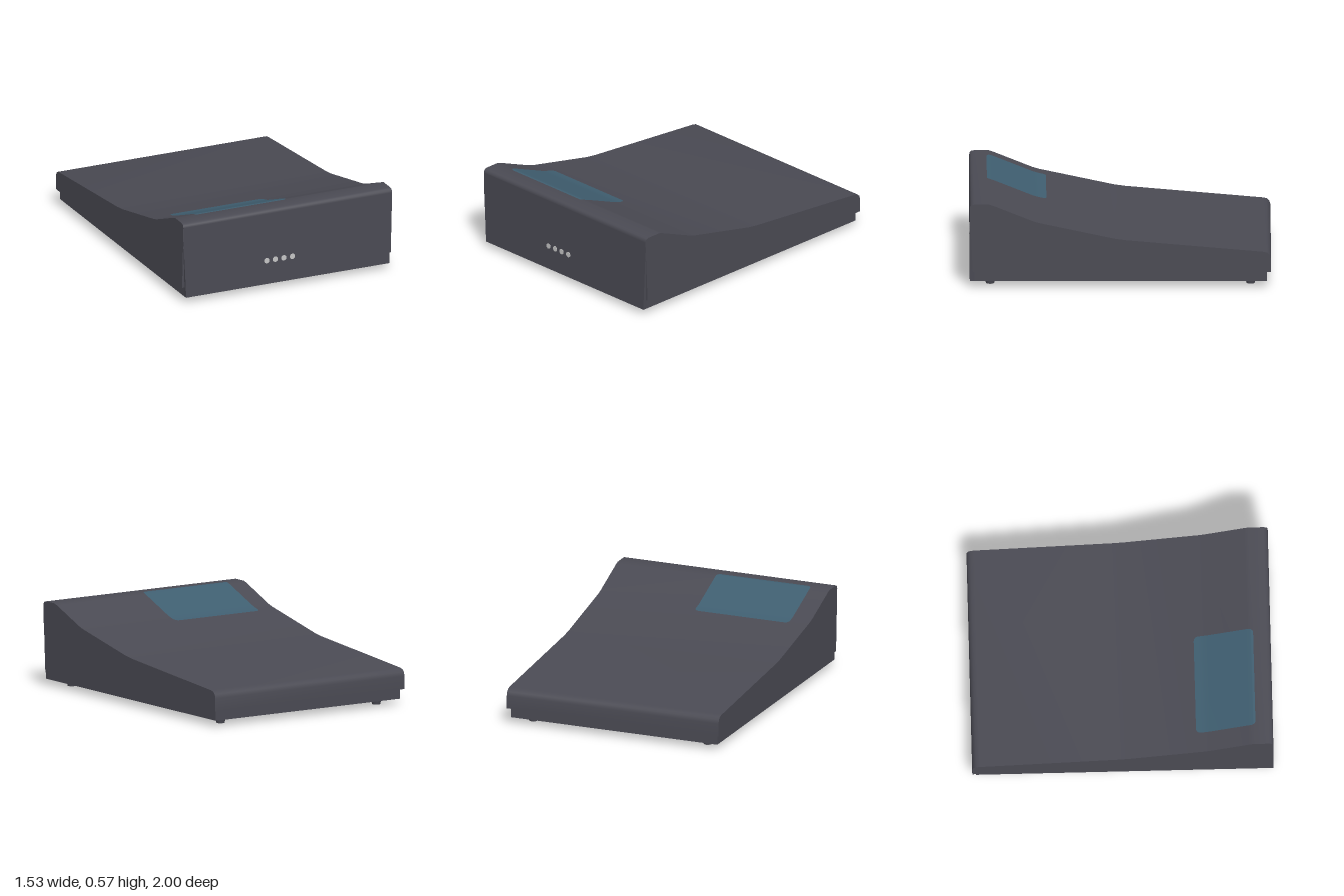
import * as THREE from 'three';
import { toCreasedNormals } from 'three/addons/utils/BufferGeometryUtils.js';

export function createModel() {
  const group = new THREE.Group();
  const material = (name, color) => {
    const m = new THREE.MeshStandardMaterial({ color });
    m.name = name;
    return m;
  };
  const casing = material('charcoal casing', 0x4a4a53);
  const glass = material('blue display', 0x3f5e70);
  const light = material('pale indicator', 0xc4c4c4);
  const rubber = material('grey foot pad', 0x77777c);
  const add = (name, geometry, mat, x = 0, y = 0, z = 0) => {
    const mesh = new THREE.Mesh(geometry, mat);
    mesh.name = name;
    mesh.position.set(x, y, z);
    group.add(mesh);
    return mesh;
  };

  // Sloping top line as [z, y], from the front edge to the back
  const top = [
    [1, 0.54], [0.997, 0.553], [0.988, 0.563], [0.97, 0.567], [0.87, 0.567], [0.84, 0.557],
    [0.58, 0.453], [0.54, 0.441], [0.04, 0.334], [-0.04, 0.323],
    [-0.95, 0.244], [-0.975, 0.238], [-0.993, 0.222], [-1, 0.195],
  ];
  const topY = (z) => {
    const i = top.findIndex((p) => p[0] <= z);
    const [a, b] = [top[i - 1], top[i]];
    return a[1] + ((b[1] - a[1]) * (z - a[0])) / (b[0] - a[0]);
  };

  // Upper shell: side profile swept across the width
  const profile = [...top, [-1, 0.107], [0.98, 0.107]].map(([z, y]) => new THREE.Vector2(z, y));
  const shell = new THREE.ExtrudeGeometry(new THREE.Shape(profile), { depth: 1.53, bevelEnabled: false });
  shell.translate(0, 0, -0.765).rotateY(-Math.PI / 2);
  add('upperShell', toCreasedNormals(shell, 0.7), casing);

  // Base tray, inset below the shell
  add('baseTray', new THREE.BoxGeometry(1.49, 0.08, 1.96), casing, 0, 0.08, 0.005);

  // Front panel, a little narrower at the bottom
  const face = new THREE.Shape([[-0.745, 0.04], [0.745, 0.04], [0.748, 0.12], [0.763, 0.42], [0.763, 0.54],
    [-0.763, 0.54], [-0.763, 0.42], [-0.748, 0.12]].map(([x, y]) => new THREE.Vector2(x, y)));
  add('frontPanel', new THREE.ExtrudeGeometry(face, { depth: 0.03, bevelEnabled: false }), casing, 0, 0, 0.97);

  // Display with rounded corners, laid on the slope in rows
  const z0 = 0.49, z1 = 0.885, r = 0.03;
  const rows = [0.87, 0.84, 0.58, 0.54];
  for (let i = 0; i <= 5; i++) {
    const d = r * (1 - Math.cos((i / 5) * Math.PI / 2));
    rows.push(z0 + d, z1 - d);
  }
  rows.sort((a, b) => a - b);
  const positions = [], indices = [];
  rows.forEach((z, i) => {
    const d = Math.max(0, r - Math.min(z - z0, z1 - z));
    const inset = r - Math.sqrt(Math.max(0, r * r - d * d));
    const y = topY(z) + 0.004;
    positions.push(-0.63 + inset, y, z, 0.05 - inset, y, z);
    if (i) {
      const k = 2 * i;
      indices.push(k - 2, k, k - 1, k - 1, k, k + 1);
    }
  });
  const display = new THREE.BufferGeometry();
  display.setAttribute('position', new THREE.Float32BufferAttribute(positions, 3));
  display.setIndex(indices);
  display.computeVertexNormals();
  add('display', display, glass);

  // Row of four indicator lights
  [-0.152, -0.09, -0.028, 0.035].forEach((x) => {
    const disc = new THREE.CylinderGeometry(0.019, 0.019, 0.006, 16).rotateX(Math.PI / 2);
    add('indicatorLight', disc, light, x, 0.207, 1);
  });

  // Four tapered feet with pads
  for (const x of [-0.63, 0.63]) {
    for (const z of [-0.865, 0.865]) {
      add('foot', new THREE.CylinderGeometry(0.037, 0.028, 0.04, 24), casing, x, 0.022, z);
      add('footPad', new THREE.CylinderGeometry(0.028, 0.027, 0.004, 24), rubber, x, 0.002, z);
    }
  }
  return group;
}
